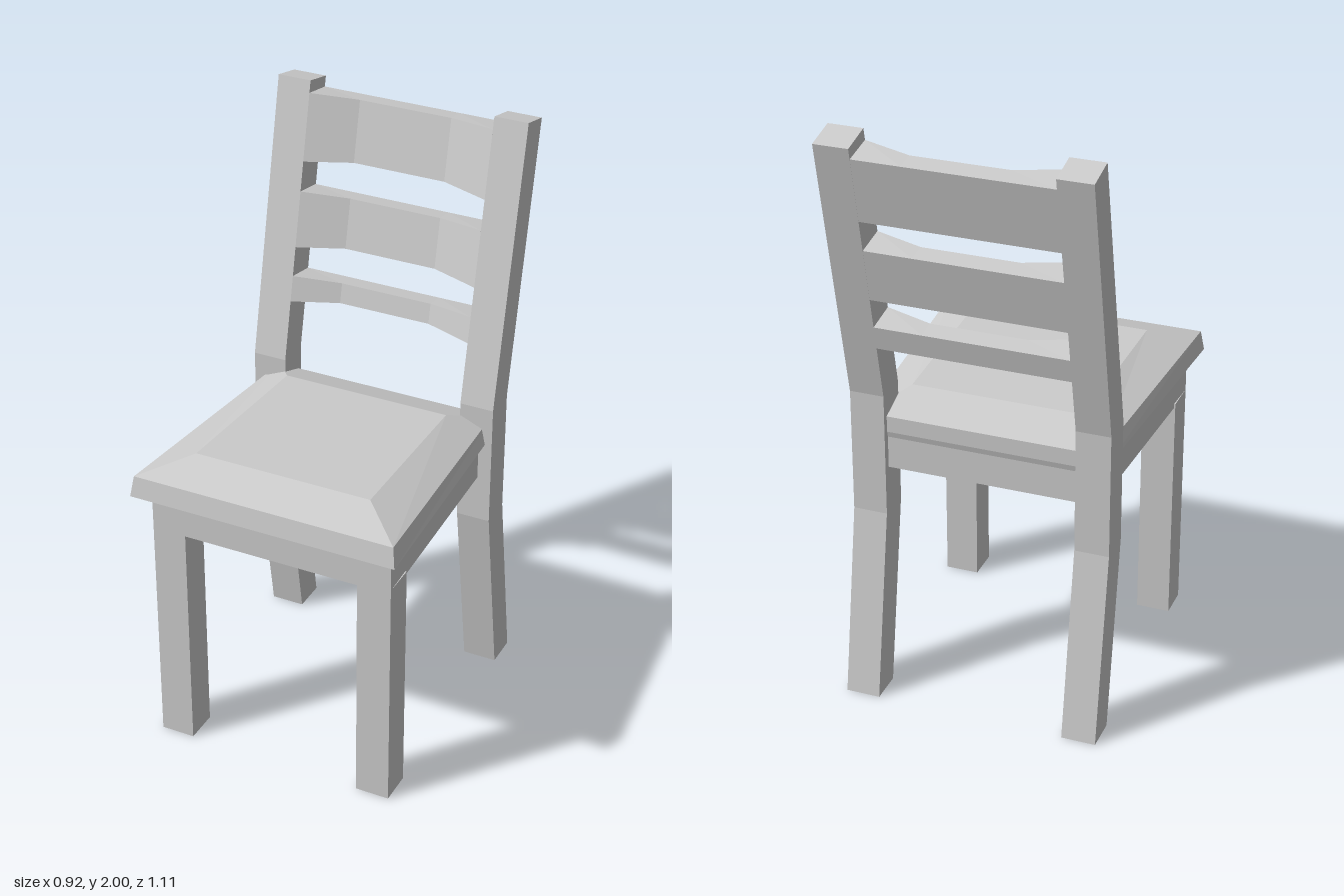
import * as THREE from 'three';

const material = new THREE.MeshStandardMaterial({ color: 0xcccccc, flatShading: true });

// Skins a stack of rings (corners counter-clockwise seen from the last ring) and caps both ends.
function loft(name, rings) {
  const pos = [];
  const quad = (a, b, c, d) => pos.push(...a, ...b, ...c, ...a, ...c, ...d);
  for (let k = 0; k < rings.length - 1; k++) {
    for (let i = 0; i < 4; i++) {
      const j = (i + 1) % 4;
      quad(rings[k][i], rings[k][j], rings[k + 1][j], rings[k + 1][i]);
    }
  }
  quad(...rings[0].slice().reverse());
  quad(...rings[rings.length - 1]);
  const geometry = new THREE.BufferGeometry();
  geometry.setAttribute('position', new THREE.Float32BufferAttribute(pos, 3));
  geometry.computeVertexNormals();
  const mesh = new THREE.Mesh(geometry, material);
  mesh.name = name;
  return mesh;
}

// Four-cornered ring: x range, then half-profile at the front and at the back.
const ring = (x0, x1, zf, yf, zb, yb) => [[x1, yf, zf], [x1, yb, zb], [x0, yb, zb], [x0, yf, zf]];

// Symmetric trapezoid ring, with its own half width at front and back.
const trapezoid = (wf, zf, yf, wb, zb, yb) =>
  [[wf, yf, zf], [wb, yb, zb], [-wb, yb, zb], [-wf, yf, zf]];

// Raked post lines, shared by posts and slats.
const postFront = (y) => -0.24 - (y - 1.07) * 0.215;
const postBack = (y) => -0.355 - (y - 1.07) * 0.215;

// Slat with a hollowed front and a straight back, slightly slimmer in the middle.
function slat(name, bottom, top) {
  const section = (x) => {
    const mid = Math.abs(x) < 0.2 ? 1 : 0;
    const yb = bottom + 0.009 * mid, yt = top - 0.01 * mid;
    const backBottom = bottom - 0.014, backTop = top - 0.02;
    return [
      [x, yb, postFront(yb) - 0.045 * mid],
      [x, backBottom, postBack(backBottom)],
      [x, backTop, postBack(backTop)],
      [x, yt, postFront(yt) - 0.045 * mid],
    ];
  };
  return loft(name, [-0.32, -0.16, 0.16, 0.32].map(section));
}

export function createModel() {
  const chair = new THREE.Group();
  chair.name = 'chair';

  // Legs, mirrored left and right
  for (const [side, s] of [['left', 1], ['right', -1]]) {
    const frontLeg = new THREE.Mesh(new THREE.BoxGeometry(0.115, 0.82, 0.115), material);
    frontLeg.position.set(s * 0.36, 0.41, 0.4325);
    frontLeg.name = side + 'FrontLeg';
    chair.add(frontLeg);

    // Rear leg bends back at the foot and at the backrest
    const x0 = s > 0 ? 0.32 : -0.435, x1 = s > 0 ? 0.435 : -0.32;
    chair.add(loft(side + 'RearPost', [
      ring(x0, x1, -0.345, 0, -0.46, 0),
      ring(x0, x1, -0.24, 0.645, -0.355, 0.645),
      ring(x0, x1, -0.24, 1.07, -0.355, 1.07),
      ring(x0, x1, -0.44, 2, -0.55, 1.975),
    ]));
  }

  // Apron under the seat
  chair.add(loft('apron', [
    trapezoid(0.4175, 0.49, 0.805, 0.385, -0.33, 0.805),
    trapezoid(0.4175, 0.49, 0.915, 0.385, -0.33, 0.915),
  ]));

  // Seat with an undercut edge and a bevelled crown
  chair.add(loft('seat', [
    trapezoid(0.4175, 0.49, 0.915, 0.385, -0.33, 0.915),
    trapezoid(0.458, 0.555, 0.95, 0.405, -0.335, 0.935),
    trapezoid(0.448, 0.543, 1.02, 0.393, -0.335, 0.99),
    trapezoid(0.303, 0.4, 1.065, 0.29, -0.195, 1.042),
  ]));

  // Backrest slats
  chair.add(slat('upperSlat', 1.738, 1.96));
  chair.add(slat('middleSlat', 1.455, 1.64));
  chair.add(slat('lowerSlat', 1.272, 1.358));

  return chair;
}
